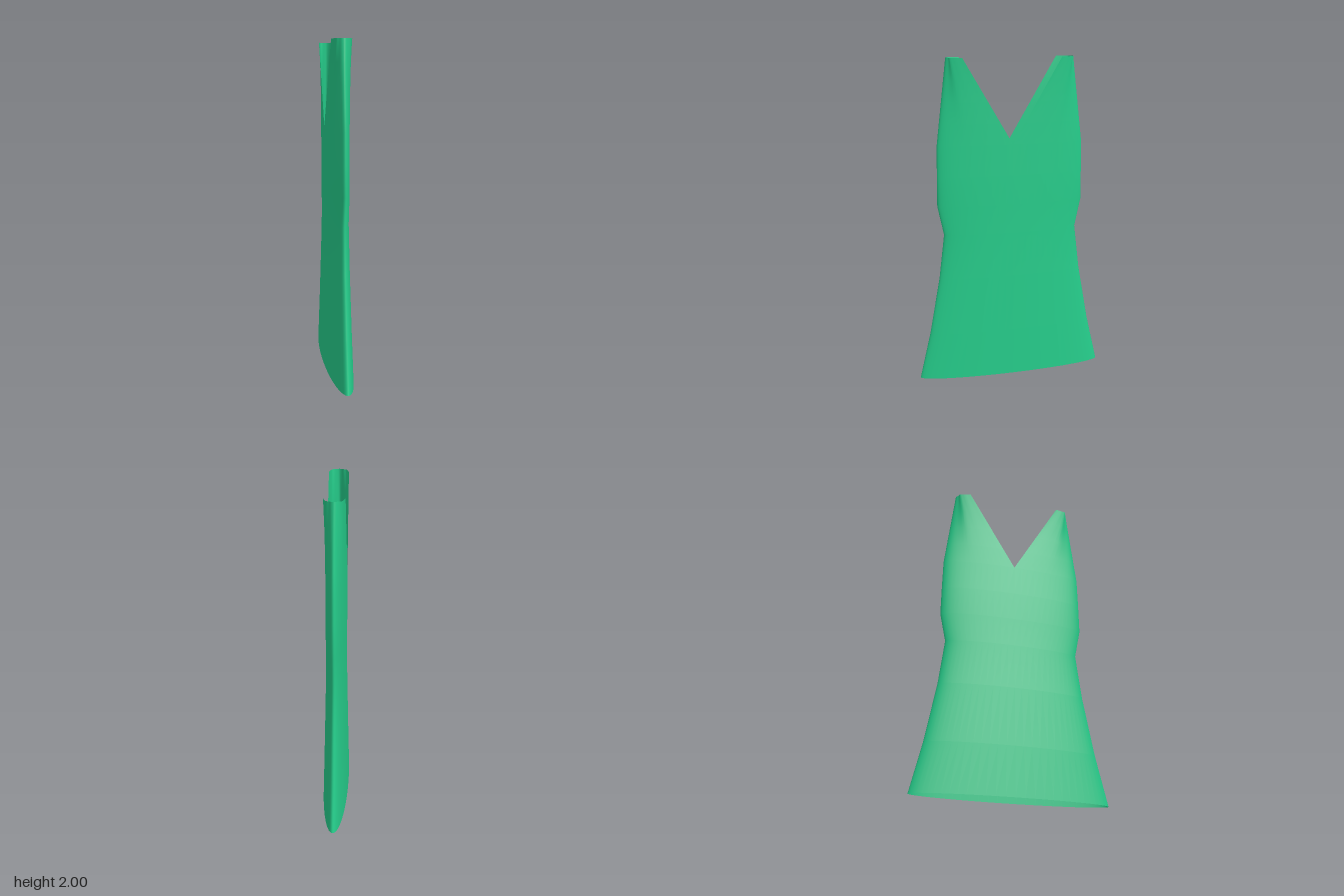
import * as THREE from 'three';
import { mergeVertices, mergeGeometries } from 'three/addons/utils/BufferGeometryUtils.js';

const SEGMENTS = 32; // columns around half of the garment

// Elliptical cross-sections: height, half width (x), half depth (z)
const SECTIONS = [
  [0, 0.082, 0.593], [0.3, 0.075, 0.522], [0.66, 0.067, 0.455], [0.94, 0.062, 0.42],
  [1.12, 0.063, 0.457], [1.3, 0.063, 0.455], [1.49, 0.063, 0.451],
];

// Strap rim from the notch edge to the middle: x, z
const RIM = [[0.06, 0.3], [0.052, 0.345], [0.043, 0.372], [0.026, 0.374], [0.013, 0.384], [0, 0.388]];

// Point on the strap rim for an angle from 0 to PI
function rimPoint(angle) {
  const side = Math.cos(angle) < 0 ? -1 : 1;
  const along = Math.min(angle, Math.PI - angle) / (Math.PI / 2) * (RIM.length - 1);
  const i = Math.min(Math.floor(along), RIM.length - 2);
  const f = along - i;
  const x = THREE.MathUtils.lerp(RIM[i][0], RIM[i + 1][0], f);
  const z = THREE.MathUtils.lerp(RIM[i][1], RIM[i + 1][1], f);
  return new THREE.Vector3(side * x, 2, z);
}

// Half shell: elliptical rings, then a bodice that narrows to one strap
function halfShell() {
  const rows = SECTIONS.map(([y, rx, rz]) => (a) =>
    new THREE.Vector3(rx * Math.cos(a), y, rz * Math.sin(a)));
  const chest = rows[rows.length - 1];
  for (const t of [0.25, 0.5, 0.75, 1]) rows.push((a) => chest(a).lerp(rimPoint(a), t));

  const positions = [];
  const indices = [];
  const stride = SEGMENTS + 1;
  rows.forEach((row, r) => {
    for (let c = 0; c <= SEGMENTS; c++) {
      positions.push(...row(c / SEGMENTS * Math.PI).toArray());
      if (r === rows.length - 1 || c === SEGMENTS) continue;
      const a = r * stride + c;
      const up = a + stride;
      indices.push(a, up, a + 1, a + 1, up, up + 1);
    }
  });
  const geometry = new THREE.BufferGeometry();
  geometry.setAttribute('position', new THREE.Float32BufferAttribute(positions, 3));
  geometry.setIndex(indices);
  return geometry;
}

export function createModel() {
  const group = new THREE.Group();
  group.name = 'dress';

  // Front and back halves welded along the sides
  const front = halfShell();
  const back = front.clone().rotateY(Math.PI);
  const geometry = mergeVertices(mergeGeometries([front, back]), 1e-4);
  geometry.computeVertexNormals();

  const material = new THREE.MeshStandardMaterial({ color: 0x25cc8a, side: THREE.DoubleSide });
  const shell = new THREE.Mesh(geometry, material);
  shell.name = 'dressShell';
  group.add(shell);
  return group;
}
